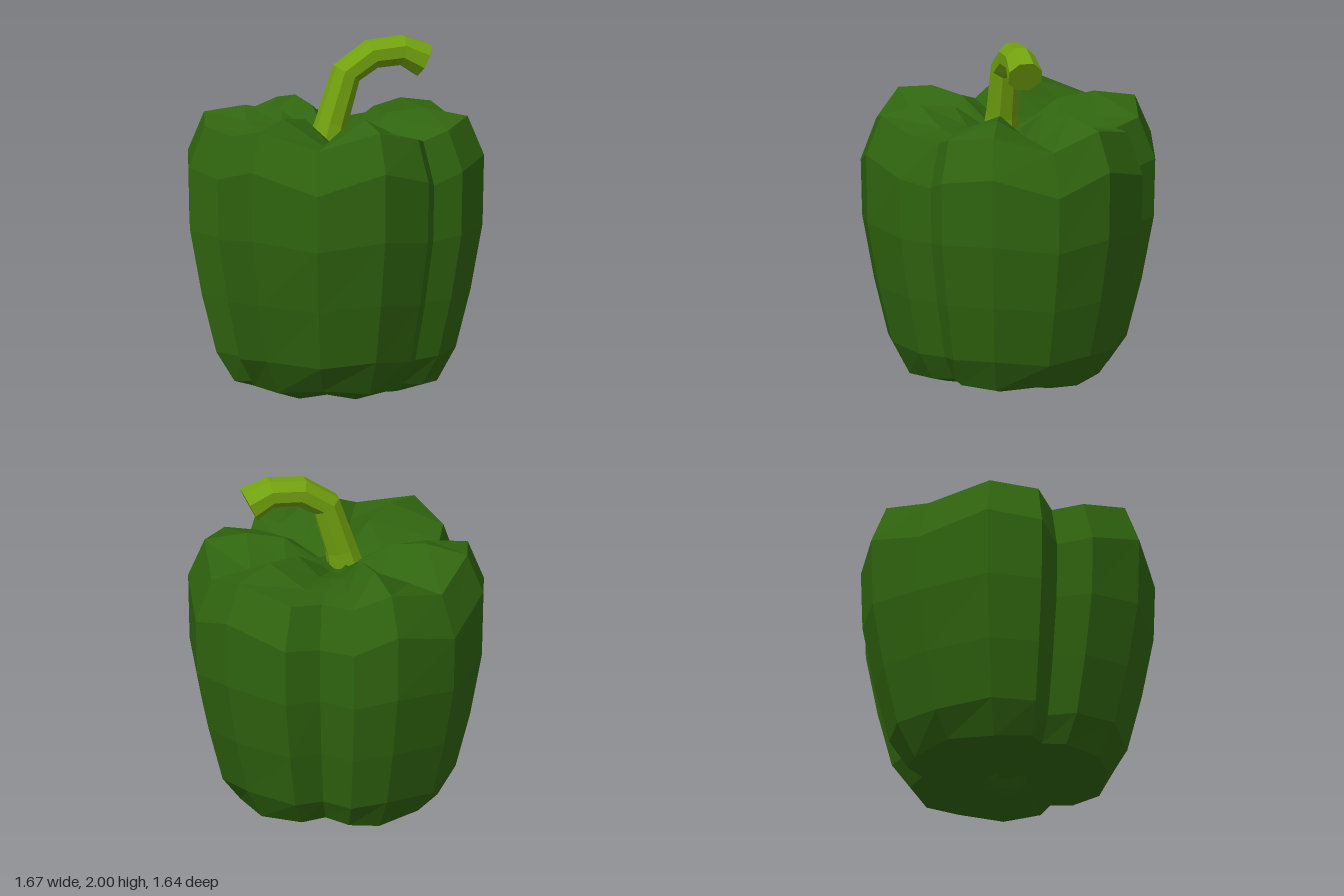
import * as THREE from 'three';

// Outline of the fruit at its widest: [x, z, lift]; lift 0 = furrow or sag, 1 = shoulder of a lobe
const outline = [
  [0, 0.82, 0], [0.375, 0.72, 1], [0.59, 0.49, 0.35],
  [0.6, 0.31, 0], [0.75, 0.22, 0.55], [0.835, -0.085, 1], [0.74, -0.45, 0.05], [0.53, -0.7, 1], [0.18, -0.82, 0.2],
  [0, -0.71, 0], [-0.21, -0.82, 0.2], [-0.45, -0.75, 1], [-0.73, -0.47, 0.05], [-0.835, -0.08, 1], [-0.795, 0.225, 0.55],
  [-0.6, 0.3, 0], [-0.6, 0.5, 0.35], [-0.38, 0.75, 1],
];

// Levels from the dimple below to the hollow on top: [scale, y at furrow, y at shoulder]
const levels = [
  [0.08, 0.09, 0.09], [0.13, 0.05, 0.05], [0.18, 0.03, 0.02], [0.42, 0.03, 0],
  [0.685, 0.08, 0.06], [0.81, 0.22, 0.25], [0.91, 0.55, 0.58], [0.99, 0.9, 0.95],
  [1, 1.22, 1.34], [0.89, 1.465, 1.56], [0.61, 1.46, 1.605], [0.36, 1.45, 1.58], [0.15, 1.42, 1.46],
];

// Stem centre line: [x, y, z, radius]
const stemPath = [
  [-0.05, 1.36, 0.03, 0.11], [-0.015, 1.52, 0.015, 0.092], [0.065, 1.8, -0.02, 0.086],
  [0.2, 1.9, -0.085, 0.086], [0.36, 1.915, -0.155, 0.088], [0.475, 1.855, -0.205, 0.102],
];

// Skins closed rings of equal count and caps both ends
function loft(rings) {
  const n = rings[0].length, last = rings.length - 1;
  const positions = rings.flat().flatMap((p) => p.toArray());
  const index = [];
  for (let r = 0; r < last; r++) {
    for (let i = 0; i < n; i++) {
      const j = (i + 1) % n, a = r * n + i, b = r * n + j;
      index.push(a, b, b + n, a, b + n, a + n);
    }
  }
  for (let i = 1; i < n - 1; i++) {
    index.push(0, i + 1, i, last * n, last * n + i, last * n + i + 1);
  }
  const geometry = new THREE.BufferGeometry();
  geometry.setAttribute('position', new THREE.Float32BufferAttribute(positions, 3));
  geometry.setIndex(index);
  const flat = geometry.toNonIndexed();
  flat.computeVertexNormals();
  return flat;
}

function part(name, geometry, color) {
  const mesh = new THREE.Mesh(geometry, new THREE.MeshStandardMaterial({ color, flatShading: true }));
  mesh.name = name;
  return mesh;
}

// Octagonal sections set square to the path, which lies in one upright plane
function stemRings(sides = 8) {
  const points = stemPath.map(([x, y, z]) => new THREE.Vector3(x, y, z));
  const side = new THREE.Vector3(0.39, 0, 0.92).normalize();
  return points.map((p, k) => {
    const before = points[Math.max(k - 1, 0)], after = points[Math.min(k + 1, points.length - 1)];
    const tangent = after.clone().sub(before).normalize();
    const up = tangent.clone().cross(side).normalize();
    return Array.from({ length: sides }, (_, i) => {
      const angle = ((i + 0.5) / sides) * Math.PI * 2, radius = stemPath[k][3];
      return p.clone()
        .addScaledVector(side, Math.cos(angle) * radius)
        .addScaledVector(up, Math.sin(angle) * radius);
    });
  });
}

export function createModel() {
  const group = new THREE.Group();
  group.name = 'bellPepper';

  // Lobed fruit
  const fruitRings = levels.map(([scale, low, high]) => outline.map(([x, z, lift]) =>
    new THREE.Vector3(x * scale, THREE.MathUtils.lerp(low, high, lift), z * scale)));
  group.add(part('fruit', loft(fruitRings), 0x30650f));

  // Bent stem
  group.add(part('stem', loft(stemRings()), 0x73a30f));
  return group;
}
